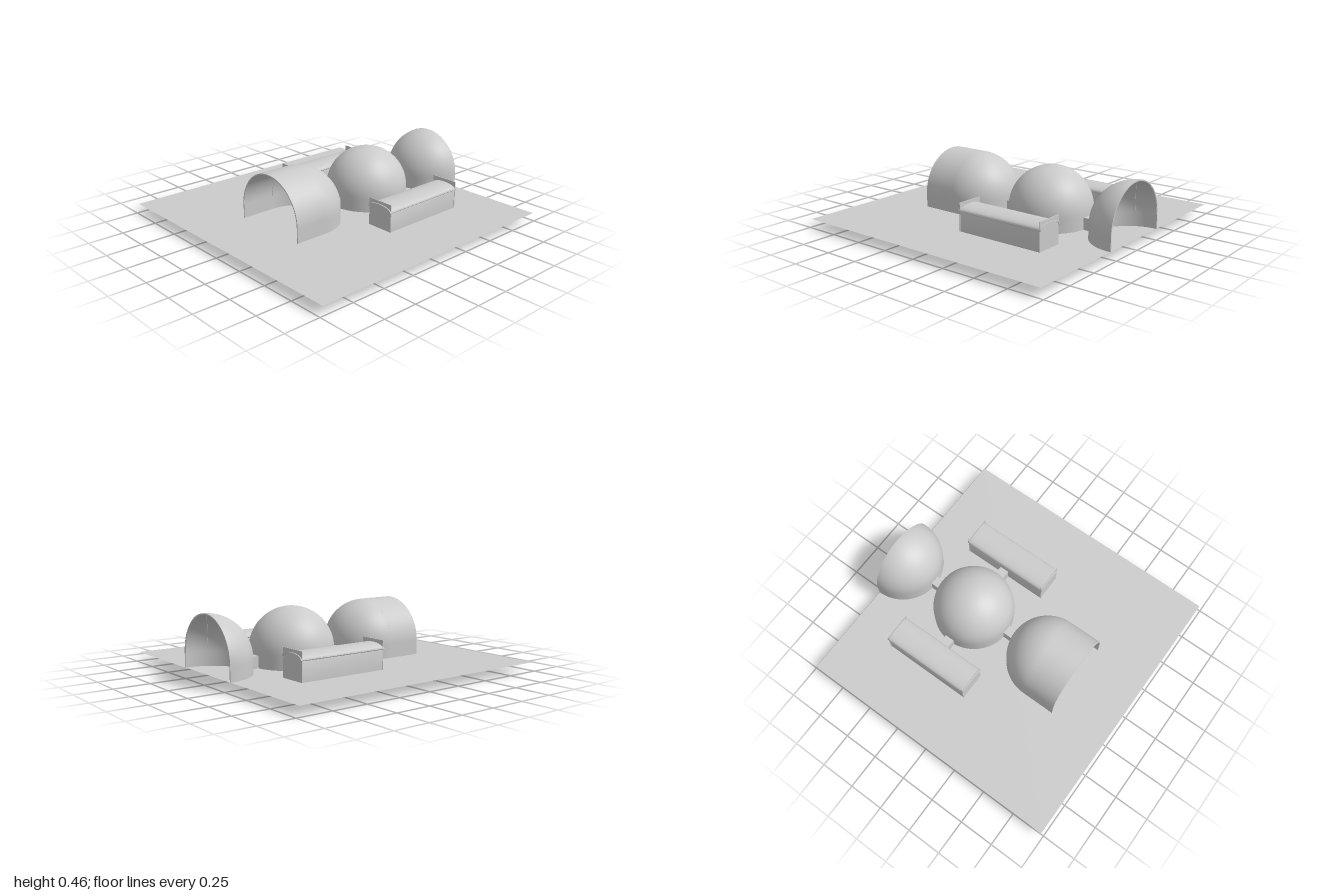
import * as THREE from 'three';
import { toCreasedNormals } from 'three/addons/utils/BufferGeometryUtils.js';

const GROUND = 0.065, SPRING = 0.165, DOOR_TOP = 0.145;
const R = 0.29, T = 0.008, RI = R - T;
const mat = new THREE.MeshStandardMaterial({ color: 0xcccccc, side: THREE.DoubleSide });

function add(parent, name, geo, x = 0, y = 0, z = 0) {
  const m = new THREE.Mesh(geo, mat);
  m.name = name;
  m.position.set(x, y, z);
  parent.add(m);
  return m;
}

const box = (w, h, d) => new THREE.BoxGeometry(w, h, d);

function extrude(shape, depth) {
  const g = new THREE.ExtrudeGeometry(shape, { depth, bevelEnabled: false, curveSegments: 40 });
  return toCreasedNormals(g, 0.6);
}

// Arch section: straight walls under a half circle
function archShape() {
  const s = new THREE.Shape();
  s.moveTo(R, GROUND);
  s.lineTo(R, SPRING);
  s.absarc(0, SPRING, R, 0, Math.PI, false);
  s.lineTo(-R, GROUND);
  s.lineTo(-RI, GROUND);
  s.lineTo(-RI, SPRING);
  s.absarc(0, SPRING, RI, Math.PI, 0, true);
  s.lineTo(RI, GROUND);
  return s;
}

// Domed hall on a round wall; doors are angles measured from +z
function domeHall(name, z, start, length, doors, ribs) {
  const g = new THREE.Group();
  g.name = name;
  g.position.z = z;
  const profile = (r) => {
    const p = [new THREE.Vector2(r, DOOR_TOP)];
    for (let i = 0; i <= 24; i++) {
      const a = (i / 24) * Math.PI / 2;
      p.push(new THREE.Vector2(Math.max(0, r * Math.cos(a)), SPRING + r * Math.sin(a)));
    }
    return p;
  };
  const segs = Math.round(64 * length / (2 * Math.PI));
  add(g, 'domeOuter', new THREE.LatheGeometry(profile(R), segs, start, length));
  add(g, 'domeInner', new THREE.LatheGeometry(profile(RI).reverse(), segs, start, length));

  // Wall pieces between the doorways
  const half = Math.asin(0.028 / R);
  const full = length > 6;
  const from = full ? doors.map((d) => d + half) : [start, ...doors.map((d) => d + half)];
  const to = full
    ? doors.map((d, i) => (i + 1 < doors.length ? doors[i + 1] : doors[0] + 2 * Math.PI) - half)
    : [...doors.map((d) => d - half), start + length];
  from.forEach((a, i) => {
    const outer = [new THREE.Vector2(R, GROUND), new THREE.Vector2(R, DOOR_TOP)];
    const inner = [new THREE.Vector2(RI, DOOR_TOP), new THREE.Vector2(RI, GROUND)];
    for (const pts of [outer, inner]) {
      add(g, 'wall', new THREE.LatheGeometry(pts, 24, a, to[i] - a));
    }
  });

  // Slim ribs under the dome
  for (let i = 0; i < ribs; i++) {
    const a = start + (full ? i / ribs : i / (ribs - 1)) * length;
    const rib = add(g, 'rib', new THREE.TorusGeometry(RI, 0.003, 6, 24, Math.PI / 2), 0, SPRING, 0);
    rib.rotation.y = a - Math.PI / 2;
  }
  return g;
}

// Covered passage centred on its own origin, running along z
function passage(length) {
  const g = new THREE.Group();
  g.name = 'passage';
  const h = DOOR_TOP - GROUND;
  for (const s of [-1, 1]) add(g, 'passageWall', box(0.006, h, length), s * 0.031, GROUND + h / 2, 0);
  add(g, 'passageRoof', box(0.068, 0.006, length), 0, DOOR_TOP + 0.001, 0);
  return g;
}

// Long side hall with a shallow curved roof and tall end plates
function sideHall(name, x) {
  const g = new THREE.Group();
  g.name = name;
  g.position.set(x, 0, -0.322);
  const L = 0.645, w = 0.1;
  const roofCurve = (s, hw, drop, flip) => {
    for (let i = 0; i <= 20; i++) {
      const t = (flip ? 20 - i : i) / 20 * Math.PI;
      s.lineTo(hw * Math.cos(t), 0.203 - drop + 0.036 * Math.pow(Math.sin(t), 0.9));
    }
  };
  const body = new THREE.Shape();
  body.moveTo(-w + 0.003, GROUND);
  body.lineTo(w - 0.003, GROUND);
  roofCurve(body, w - 0.003, 0.003, false);
  add(g, 'hallBody', extrude(body, L), 0, 0, -L / 2);

  const roof = new THREE.Shape();
  roof.moveTo(w + 0.002, 0.203);
  roofCurve(roof, w + 0.002, 0, false);
  roofCurve(roof, w - 0.004, 0.006, true);
  add(g, 'roof', extrude(roof, L + 0.02), 0, 0, -L / 2 - 0.01);

  for (const s of [-1, 1]) add(g, 'endPlate', box(0.2, 0.26, 0.005), 0, 0.13, s * L / 2);
  return g;
}

export function createModel() {
  const model = new THREE.Group();
  model.name = 'domeComplex';
  const PI = Math.PI;

  const ground = add(model, 'ground', new THREE.PlaneGeometry(2, 1.96), 0, GROUND, 0);
  ground.rotation.x = -PI / 2;

  // Three domes in a row; the outer two are cut open at their far ends
  const front = domeHall('frontDome', 0.322, PI / 2, PI, [PI], 7);
  add(front, 'vault', extrude(archShape(), 0.245));
  add(front, 'figure', box(0.016, 0.048, 0.012), 0, GROUND + 0.026, 0);
  model.add(front);

  model.add(domeHall('middleDome', -0.325, 0, 2 * PI, [0, PI / 2, PI, 1.5 * PI], 12));

  const back = domeHall('backDome', -0.975, -PI / 2, PI, [0], 7);
  add(back, 'rim', extrude(archShape(), 0.005), 0, 0, -0.005);
  model.add(back);

  // Passages joining the domes
  for (const z of [0.001, -0.65]) {
    const p = passage(0.086);
    p.position.z = z;
    model.add(p);
  }

  // Side halls and their passages
  for (const s of [-1, 1]) {
    const p = passage(0.09);
    p.rotation.y = PI / 2;
    p.position.set(s * 0.328, 0, -0.325);
    model.add(p);
    model.add(sideHall(s > 0 ? 'leftHall' : 'rightHall', s * 0.466));
  }
  return model;
}
